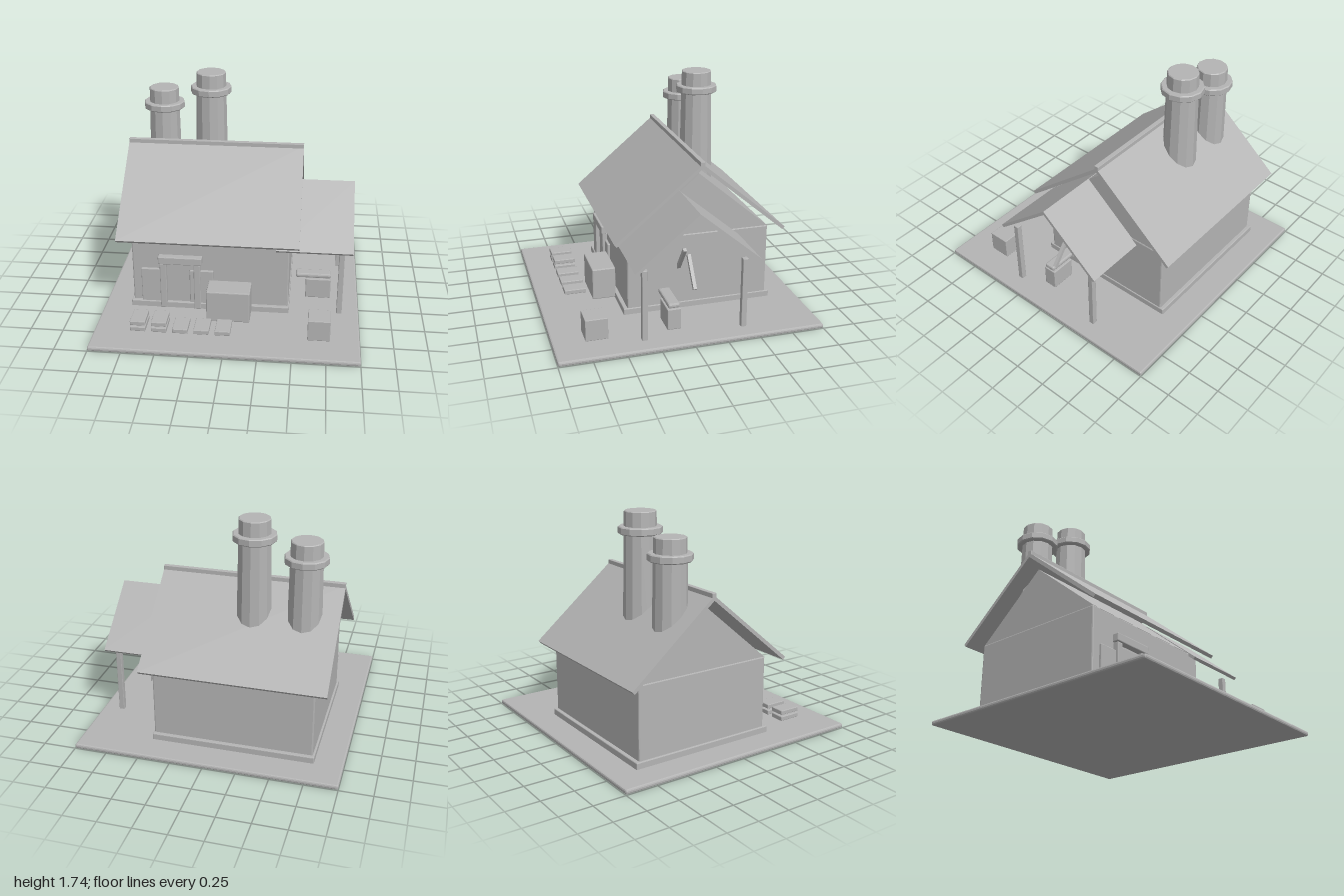
import * as THREE from 'three';
import { RoundedBoxGeometry } from 'three/addons/geometries/RoundedBoxGeometry.js';

export function createModel() {
  const model = new THREE.Group();
  const grey = new THREE.MeshStandardMaterial({ color: 0xb4b4b4, flatShading: true });
  grey.name = 'plain grey';

  function add(name, geometry) {
    const mesh = new THREE.Mesh(geometry, grey);
    mesh.name = name;
    model.add(mesh);
    return mesh;
  }
  // Chamfered box given by its extents
  function block(name, x0, x1, y0, y1, z0, z1, bevel = 0.006) {
    const g = new RoundedBoxGeometry(x1 - x0, y1 - y0, z1 - z0, 1, bevel);
    g.translate((x0 + x1) / 2, (y0 + y1) / 2, (z0 + z1) / 2);
    return add(name, g);
  }
  // Two sloping slabs meeting at a ridge
  function gableRoof(name, x0, x1, ridgeY, ridgeZ, length, thick) {
    for (const turn of [0, Math.PI]) {
      const g = new THREE.BoxGeometry(x1 - x0, thick, length);
      g.translate(0, -thick / 2, length / 2);
      g.rotateX(THREE.MathUtils.degToRad(40));
      g.rotateY(turn);
      g.translate((x0 + x1) / 2, ridgeY, ridgeZ);
      add(name + (turn ? 'Back' : 'Front'), g);
    }
  }

  // Ground slab and house body
  block('groundSlab', -1, 1, 0, 0.036, -1, 1, 0.012);
  block('plinth', -0.785, 0.457, 0.03, 0.085, -0.78, 0.4);
  block('walls', -0.77, 0.45, 0.03, 0.645, -0.75, 0.37, 0.01);
  const gable = new THREE.Shape([[-0.37, 0.64], [0.75, 0.64], [0.19, 1.115]]
    .map(([x, y]) => new THREE.Vector2(x, y)));
  const gableGeometry = new THREE.ExtrudeGeometry(gable, { depth: 1.21, bevelEnabled: false });
  gableGeometry.rotateY(Math.PI / 2).translate(-0.765, 0, 0);
  add('gable', gableGeometry);

  // Main roof with ridge cap, and the lower side porch roof
  gableRoof('mainRoof', -0.87, 0.525, 1.212, -0.19, 0.875, 0.027);
  block('ridgeCap', -0.87, 0.525, 1.185, 1.23, -0.208, -0.172, 0.003);
  gableRoof('porchRoof', 0.35, 0.93, 0.993, -0.04, 0.613, 0.024);

  // Porch posts and diagonal braces
  for (const z of [0.343, -0.413]) {
    block('porchPost', 0.828, 0.87, 0.03, 0.585, z - 0.021, z + 0.021, 0.004);
  }
  for (const [x, tilt] of [[0.52, -0.65], [0.765, 0.65]]) {
    const brace = add('porchBrace', new THREE.BoxGeometry(0.028, 0.26, 0.026));
    brace.position.set(x, 0.482, -0.035);
    brace.rotation.z = tilt;
  }

  // Twelve-sided tapering chimneys with collars
  for (const [x, top, collar] of [[-0.61, 1.605, 1.465], [-0.23, 1.74, 1.6]]) {
    const r = y => 0.118 + (top - y) * 0.018;
    const lo = collar - 0.028, hi = collar + 0.028;
    const profile = [
      [0, 0.66], [r(0.66), 0.66], [r(lo), lo], [0.156, lo], [0.163, lo + 0.007],
      [0.163, hi - 0.007], [0.156, hi], [r(hi), hi], [0.118, top - 0.006], [0.112, top], [0, top],
    ].map(([px, py]) => new THREE.Vector2(px, py));
    const g = new THREE.LatheGeometry(profile, 12);
    g.translate(x, 0, -0.38);
    add('chimney', g);
  }

  // Doorway with panels on either side
  block('door', -0.51, -0.275, 0.036, 0.42, 0.34, 0.377, 0.004);
  block('sidePanelLeft', -0.32, -0.135, 0.04, 0.37, 0.35, 0.39);
  block('sidePanelRight', -0.7, -0.515, 0.04, 0.37, 0.35, 0.39);
  block('doorPost', -0.55, -0.498, 0.036, 0.43, 0.36, 0.41);
  block('doorPost', -0.285, -0.232, 0.036, 0.43, 0.36, 0.41);
  block('lintel', -0.56, -0.22, 0.43, 0.492, 0.36, 0.421);

  // Yard: large chest, small crate, row of paving bricks
  block('chest', -0.168, 0.165, 0.045, 0.3, 0.395, 0.58, 0.008);
  block('crate', 0.61, 0.778, 0.04, 0.208, 0.593, 0.762, 0.005);
  for (let i = 0; i < 5; i++) {
    const x = -0.72 + i * 0.16;
    block('brick', x, x + 0.115, 0.05, 0.086, 0.607, 0.78, 0.005);
    if (i < 2) block('stackedBrick', x, x + 0.115, 0.1, 0.135, 0.607, 0.78, 0.005);
  }

  // Workbench under the porch
  block('benchStand', 0.58, 0.78, 0.04, 0.207, 0.045, 0.15);
  block('benchNeck', 0.61, 0.75, 0.2, 0.225, 0.07, 0.125, 0.003);
  block('benchTop', 0.5, 0.78, 0.213, 0.25, 0.055, 0.143, 0.012);

  return model;
}
